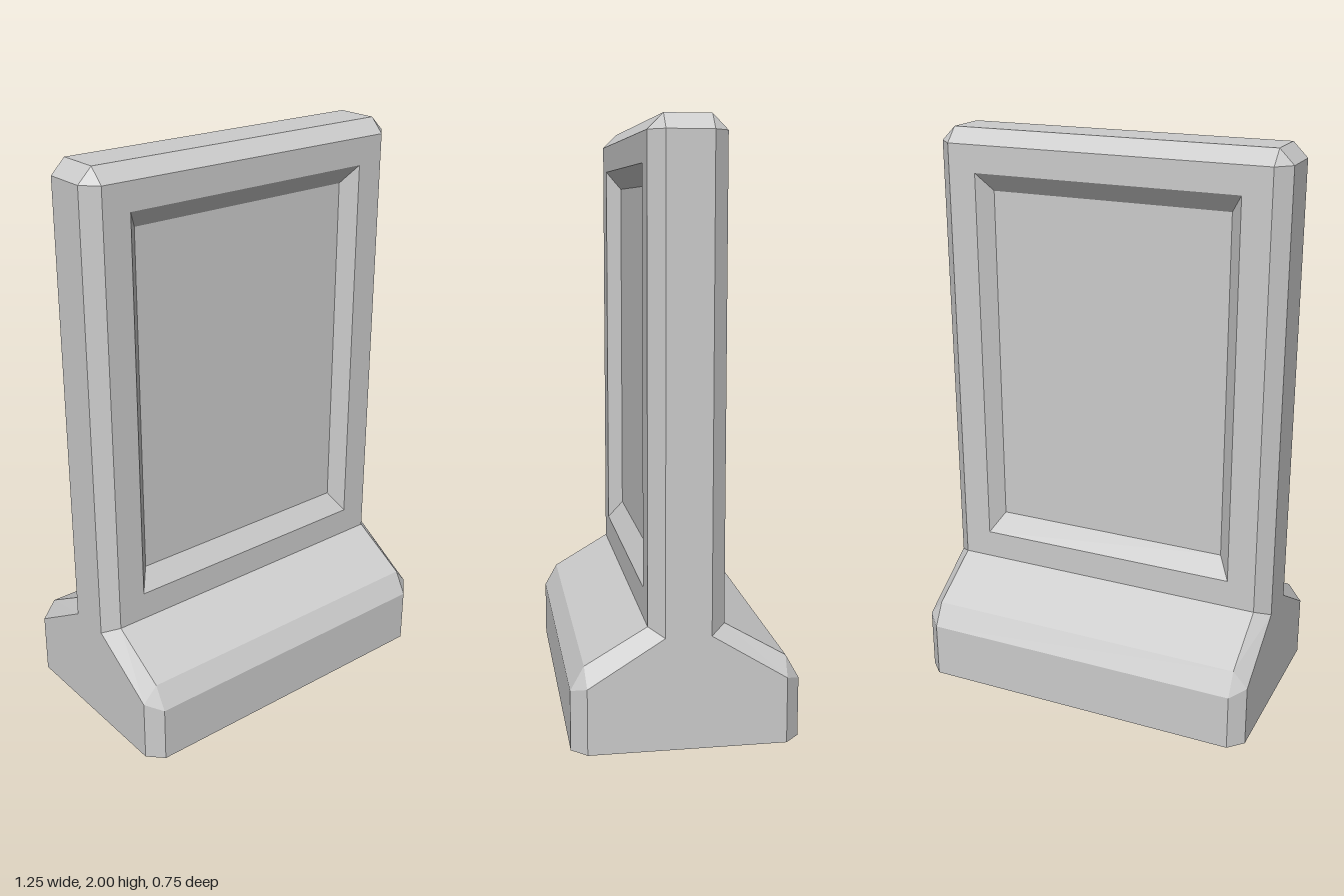
import * as THREE from 'three';

const material = new THREE.MeshStandardMaterial({ color: 0xcccccc, flatShading: true });

// Half profile as [z, y], from bottom centre around to top centre
const MAIN = [[0, 0], [0.375, 0], [0.375, 0.2], [0.33, 0.28], [0.125, 0.4], [0.125, 1.95], [0.075, 2], [0, 2]];
// Matching points on the chamfered end caps
const CAP = [[0, 0], [0.325, 0], [0.325, 0.22], [0.325, 0.22], [0.075, 0.375], [0.075, 1.95], [0.075, 1.95], [0, 1.95]];
const MAIN_X = 0.575, CAP_X = 0.625;
const FACE = 4; // profile segment that carries the recessed panel

// Flat-shaded mesh from quads with corners counter-clockwise from outside
function quadMesh(name, quads) {
  const positions = [];
  const addTriangle = (a, b, c) => {
    const [A, B, C] = [a, b, c].map((p) => new THREE.Vector3(...p));
    if (new THREE.Triangle(A, B, C).getArea() > 1e-8) positions.push(...a, ...b, ...c);
  };
  for (const [a, b, c, d] of quads) {
    addTriangle(a, b, c);
    addTriangle(a, c, d);
  }
  const geometry = new THREE.BufferGeometry();
  geometry.setAttribute('position', new THREE.Float32BufferAttribute(positions, 3));
  geometry.computeVertexNormals();
  const mesh = new THREE.Mesh(geometry, material);
  mesh.name = name;
  return mesh;
}

const at = (x, [z, y], side = 1) => [x, y, z * side];

const rect = (halfWidth, bottom, top, z) => [
  [-halfWidth, bottom, z], [halfWidth, bottom, z], [halfWidth, top, z], [-halfWidth, top, z],
];

// Quads joining two four-cornered loops
const band = (outer, inner) => outer.map((p, k) => {
  const n = (k + 1) % 4;
  return [p, outer[n], inner[n], inner[k]];
});

function createHalf(name) {
  const half = new THREE.Group();
  half.name = name;
  const shell = [], chamfers = [], cap = [];
  for (let i = 0; i < MAIN.length - 1; i++) {
    const [m, n, c, d] = [MAIN[i], MAIN[i + 1], CAP[i], CAP[i + 1]];
    if (i !== FACE) shell.push([at(-MAIN_X, m), at(MAIN_X, m), at(MAIN_X, n), at(-MAIN_X, n)]);
    chamfers.push([at(MAIN_X, m), at(CAP_X, c), at(CAP_X, d), at(MAIN_X, n)]);
    chamfers.push([at(-CAP_X, c), at(-MAIN_X, m), at(-MAIN_X, n), at(-CAP_X, d)]);
    cap.push([at(CAP_X, c), at(CAP_X, c, -1), at(CAP_X, d, -1), at(CAP_X, d)]);
  }

  // Face frame, sloped recess walls and recessed panel
  const face = rect(MAIN_X, 0.4, 1.95, 0.125);
  const opening = rect(0.475, 0.5, 1.855, 0.125);
  const panel = rect(0.43, 0.57, 1.79, 0.075);

  half.add(
    quadMesh('shell', shell),
    quadMesh('endChamfers', chamfers),
    quadMesh('endCap', cap),
    quadMesh('faceFrame', band(face, opening)),
    quadMesh('recessWalls', band(opening, panel)),
    quadMesh('recessedPanel', [panel]),
  );
  return half;
}

export function createModel() {
  const model = new THREE.Group();
  model.name = 'barrierWall';
  const back = createHalf('backHalf');
  back.rotation.y = Math.PI;
  model.add(createHalf('frontHalf'), back);
  return model;
}
